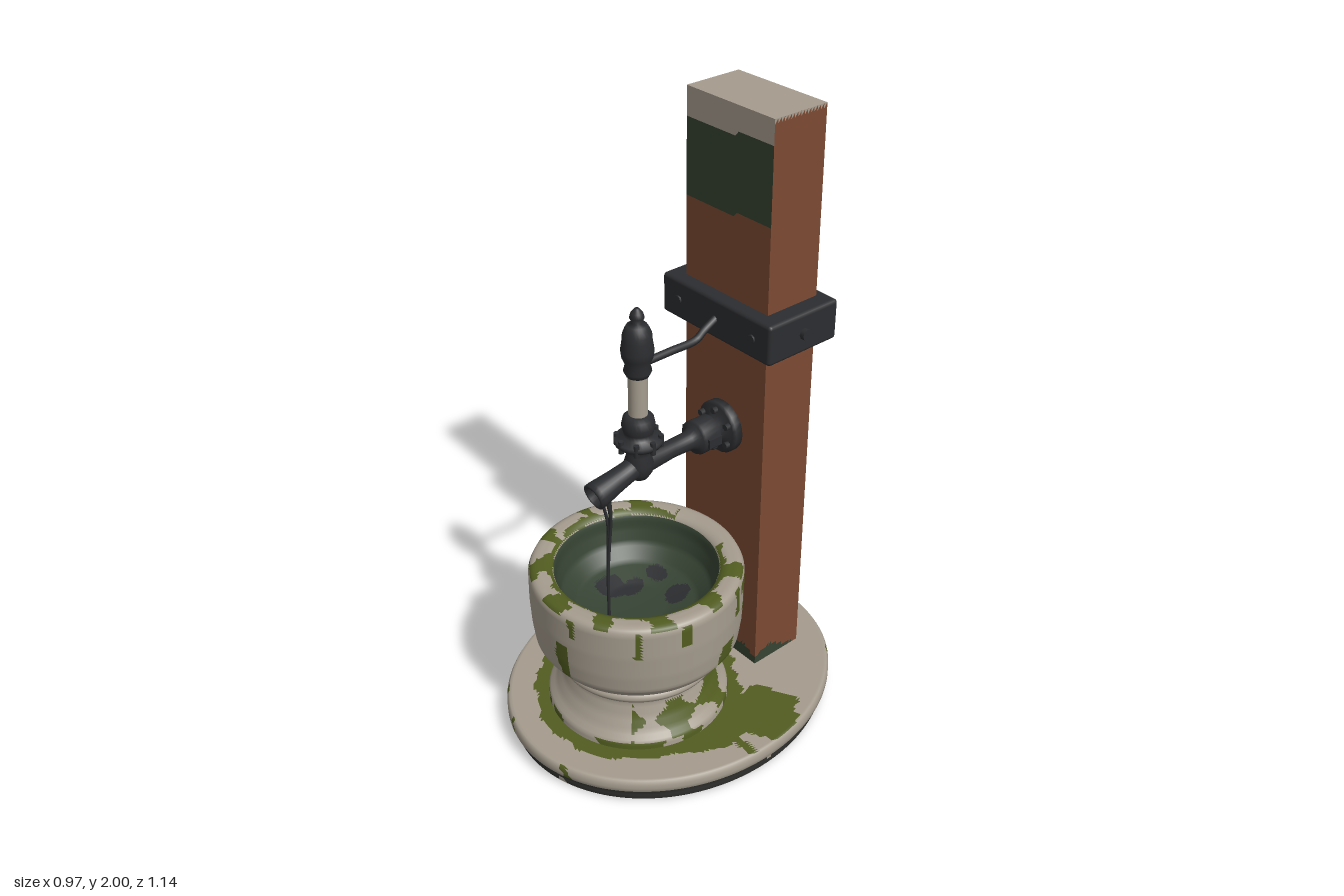
import * as THREE from 'three';
import { RoundedBoxGeometry } from 'three/addons/geometries/RoundedBoxGeometry.js';

const paint = (name, color) => {
  const m = new THREE.MeshStandardMaterial({ color });
  m.name = name;
  return m;
};
const V = (x, y, z) => new THREE.Vector3(x, y, z);

// Smooth wobble that makes patch edges irregular
const wobble = (x, y, z) =>
  (Math.sin(x * 31 + z * 17 + y * 23) + Math.sin(z * 41 - x * 23 + 1.3) + Math.sin(x * 67 + y * 53 + z * 59)) / 3;

// Is (x, z) inside any of the ellipses [cx, cz, rx, rz]?
const inBlobs = (blobs, x, z) =>
  blobs.some(([cx, cz, rx, rz]) => Math.hypot((x - cx) / rx, (z - cz) / rz) < 1 + 0.22 * wobble(x, 0, z));

// Profile points [r, y] resampled so that patches have clean edges
function denseProfile(points, step) {
  const out = [];
  points.forEach(([r, y], i) => {
    if (i === 0) return out.push(new THREE.Vector2(r, y));
    const [r0, y0] = points[i - 1];
    const n = Math.max(1, Math.ceil(Math.hypot(r - r0, y - y0) / step));
    for (let k = 1; k <= n; k++) out.push(new THREE.Vector2(r0 + (r - r0) * k / n, y0 + (y - y0) * k / n));
  });
  return out;
}

// Sort the triangles of a geometry into material groups by their centres
function splitFaces(geometry, count, pick) {
  const p = geometry.attributes.position, idx = geometry.index.array;
  const buckets = Array.from({ length: count }, () => []);
  for (let i = 0; i < idx.length; i += 3) {
    const t = [idx[i], idx[i + 1], idx[i + 2]];
    const mean = (get) => (get(t[0]) + get(t[1]) + get(t[2])) / 3;
    buckets[pick(mean((k) => p.getX(k)), mean((k) => p.getY(k)), mean((k) => p.getZ(k)))].push(...t);
  }
  geometry.setIndex(buckets.flat());
  let start = 0;
  buckets.forEach((b, i) => {
    geometry.addGroup(start, b.length, i);
    start += b.length;
  });
  return geometry;
}

export function createModel() {
  const stone = paint('stone', 0xa59c8e);
  const moss = paint('moss', 0x515c20);
  const wood = paint('redPost', 0x7c4a33);
  const iron = paint('iron', 0x2c2d30);
  const grime = paint('darkGrime', 0x30312e);
  const damp = paint('dampGreen', 0x364333);

  const model = new THREE.Group();
  model.name = 'waterFountain';
  const add = (name, geometry, material, x = 0, y = 0, z = 0, parent = model) => {
    const mesh = new THREE.Mesh(geometry, material);
    mesh.name = name;
    mesh.position.set(x, y, z);
    parent.add(mesh);
    return mesh;
  };
  const lathe = (points, sides = 24) => new THREE.LatheGeometry(points.map(([r, y]) => new THREE.Vector2(r, y)), sides);

  // Oval base slab
  const mossPatches = [
    [0.36, -0.09, 0.12, 0.11], [0.44, -0.1, 0.06, 0.05], [0.32, 0.06, 0.07, 0.14], [0.44, 0.06, 0.06, 0.015],
    [-0.32, -0.08, 0.09, 0.11], [-0.36, 0.06, 0.06, 0.14], [-0.44, 0.18, 0.035, 0.06], [-0.39, 0.22, 0.07, 0.03],
    [0, -0.455, 0.13, 0.03],
  ];
  const baseGeo = new THREE.LatheGeometry(denseProfile(
    [[0, 0], [0.96, 0], [0.97, 0.006], [0.97, 0.036], [0.985, 0.045], [1, 0.052], [1, 0.076], [0.985, 0.09], [0, 0.09]], 0.018), 180);
  baseGeo.scale(0.486, 1, 0.572);
  splitFaces(baseGeo, 3, (x, y, z) => {
    const r = Math.hypot(x / 0.486, z / 0.572), w = wobble(x, y, z);
    if (y < 0.002) {
      const ring = r > 0.74 && r < 0.77 && w > -0.25;
      return ring || (r > 0.9 && r < 0.93 && w > 0.3) ? 1 : 0;
    }
    if (y < 0.045 && r > 0.95) return w > 0.6 ? 0 : 2;
    if (y < 0.088) return w > 0.72 ? 1 : 0;
    return Math.hypot(x, z - 0.14) < 0.34 + 0.02 * w || inBlobs(mossPatches, x, z) ? 1 : 0;
  });
  add('baseSlab', baseGeo, [stone, moss, grime]);

  // Pedestal and basin in one turned profile, with moss drips [angle, half width, y0, y1]
  const drips = [
    [-0.72, 0.06, 0.48, 0.61], [-0.94, 0.05, 0.35, 0.42], [0.15, 0.08, 0.35, 0.49], [0.25, 0.05, 0.53, 0.61],
    [1.36, 0.06, 0.52, 0.61], [2.33, 0.17, 0.35, 0.59], [1.88, 0.12, 0.28, 0.43], [0.9, 0.04, 0.5, 0.61],
    [-2.1, 0.12, 0.3, 0.61], [-1.5, 0.07, 0.48, 0.61], [2.05, 0.05, 0.5, 0.61],
  ];
  const stains = [
    [-0.07, 0.0, 0.04, 0.03], [0.05, 0.01, 0.035, 0.04], [-0.12, 0.15, 0.05, 0.05], [0.12, 0.15, 0.04, 0.05],
    [0.15, 0.08, 0.03, 0.03], [0.17, 0.17, 0.03, 0.04], [-0.08, 0.09, 0.03, 0.05], [0, 0.31, 0.09, 0.03],
  ];
  const bz = 0.138;
  const bowlGeo = new THREE.LatheGeometry(denseProfile([
    [0.295, 0.08], [0.292, 0.112], [0.268, 0.14], [0.246, 0.18], [0.232, 0.225], [0.236, 0.245], [0.256, 0.254],
    [0.262, 0.267], [0.256, 0.28], [0.242, 0.288], [0.268, 0.3], [0.303, 0.328], [0.326, 0.362], [0.333, 0.42],
    [0.337, 0.5], [0.336, 0.588], [0.328, 0.604], [0.312, 0.61], [0.28, 0.609], [0.262, 0.6], [0.254, 0.585],
    [0.25, 0.55], [0.235, 0.5], [0.19, 0.455], [0.1, 0.43], [0, 0.425]], 0.012), 180);
  bowlGeo.translate(0, 0, bz);
  splitFaces(bowlGeo, 4, (x, y, z) => {
    const r = Math.hypot(x, z - bz), a = Math.atan2(x, z - bz), w = wobble(x, y, z);
    if (y > 0.42 && y < 0.593 && r < 0.258) return inBlobs(stains, x, z) ? 3 : 2; // hollow
    if (y > 0.597) { // rim
      if (Math.abs(a) > 2.75) return 0;
      return r < 0.275 + 0.015 * w || Math.cos(a * 11 + w) > 0.55 ? 1 : 0;
    }
    if (y < 0.235) { // pedestal
      if (y < 0.11) return w > 0.15 ? 1 : 0;
      const side = a > 0.8 && a < 2.5 || a < -1.3 && a > -2.6;
      return side && y < 0.22 && Math.cos(a * 9) + Math.cos(y * 75) * 0.8 > -0.35 + 0.4 * w ? 1 : 0;
    }
    return drips.some(([c, h, y0, y1]) => y > y0 && y < y1 && Math.abs(a - c + 0.03 * w) < h * (0.8 + 0.4 * w)) ? 1 : 0;
  });
  add('basin', bowlGeo, [stone, moss, damp, iron]);

  // Tall post, leaning very slightly back toward the foot
  const postGeo = new THREE.BoxGeometry(0.352, 1.94, 0.196, 28, 130, 16);
  postGeo.translate(0, 1.03, -0.31);
  const pp = postGeo.attributes.position;
  for (let i = 0; i < pp.count; i++) pp.setZ(i, pp.getZ(i) - 0.012 * (1 - pp.getY(i) / 2));
  splitFaces(postGeo, 3, (x, y, z) => {
    if (y > 1.992) return 1;
    return y < 0.118 + 0.022 * Math.sin(x * 22 + z * 30) + 0.012 * wobble(x, 0, z) ? 2 : 0;
  });
  add('post', postGeo, [wood, stone, damp]);

  // Iron band around the post with bolt heads
  add('postBand', new RoundedBoxGeometry(0.468, 0.13, 0.275, 2, 0.012), iron, 0, 1.35, -0.308);
  for (const s of [-1, 1]) {
    const side = add('bandBolt', new THREE.CylinderGeometry(0.018, 0.018, 0.03, 8), iron, s * 0.234, 1.35, -0.308);
    side.rotation.z = Math.PI / 2;
    for (const z of [-0.445, -0.171]) {
      const bolt = add('bandStud', new THREE.CylinderGeometry(0.014, 0.014, 0.012, 8), iron, s * 0.16, 1.35, z);
      bolt.rotation.x = Math.PI / 2;
    }
  }

  // Tap: wall flange, collar and pipe turned along z
  const tap = new THREE.Group();
  tap.name = 'tap';
  model.add(tap);
  const pipe = add('tapPipe', lathe([
    [0, -0.225], [0.086, -0.225], [0.086, -0.194], [0.078, -0.186], [0.05, -0.184], [0.04, -0.165], [0.054, -0.16],
    [0.056, -0.1], [0.052, -0.092], [0.038, -0.088], [0.03, -0.07], [0.028, 0], [0.034, 0.08], [0.036, 0.12], [0, 0.13]]),
  iron, 0, 0.964, 0, tap);
  pipe.rotation.x = Math.PI / 2;
  for (let i = 0; i < 6; i++) {
    const a = i / 6 * Math.PI * 2;
    const bolt = add('flangeBolt', new THREE.CylinderGeometry(0.011, 0.011, 0.02, 6), iron,
      0.066 * Math.sin(a), 0.964 + 0.066 * Math.cos(a), -0.18, tap);
    bolt.rotation.x = Math.PI / 2;
  }
  for (const s of [-1, 1]) add('collarLug', new THREE.BoxGeometry(0.02, 0.03, 0.05), iron, s * 0.053, 0.964, -0.13, tap);

  // Spout sloping forward, with a recessed mouth
  const spout = add('spout', lathe([
    [0, 0], [0.036, 0], [0.033, 0.05], [0.036, 0.1], [0.043, 0.17], [0.043, 0.186], [0.031, 0.186], [0.028, 0.15], [0, 0.15]]),
  iron, 0, 0.968, 0.115, tap);
  spout.rotation.x = Math.PI / 2 + 0.25;

  // Valve body, pale stem and turned cap
  const vz = 0.122;
  add('valveBody', lathe([
    [0, 0.918], [0.028, 0.922], [0.042, 0.945], [0.045, 0.975], [0.036, 1.005], [0.036, 1.036], [0.072, 1.044],
    [0.074, 1.052], [0.072, 1.06], [0.042, 1.066], [0.046, 1.085], [0.051, 1.105], [0.046, 1.13], [0.034, 1.142], [0, 1.142]]),
  iron, 0, 0, vz, tap);
  for (let i = 0; i < 8; i++) {
    const a = i / 8 * Math.PI * 2;
    add('valveBolt', new THREE.CylinderGeometry(0.009, 0.009, 0.04, 6), iron,
      0.066 * Math.sin(a), 1.052, vz + 0.066 * Math.cos(a), tap);
  }
  add('valveStem', new THREE.CylinderGeometry(0.029, 0.029, 0.16, 20), stone, 0, 1.21, vz, tap);
  add('valveCap', lathe([
    [0, 1.272], [0.034, 1.272], [0.042, 1.288], [0.036, 1.308], [0.046, 1.332], [0.049, 1.355], [0.044, 1.388],
    [0.043, 1.406], [0.036, 1.424], [0.03, 1.434], [0.014, 1.44], [0.022, 1.458], [0.018, 1.472], [0.008, 1.485], [0, 1.486]]),
  iron, 0, 0, vz, tap);

  // Brace rod from the cap to the band
  const tube = (name, pts, r, n = 24) =>
    add(name, new THREE.TubeGeometry(new THREE.CatmullRomCurve3(pts), n, r, 8), iron, 0, 0, 0, tap);
  tube('braceRod', [V(0, 1.303, 0.11), V(0, 1.303, 0), V(0, 1.305, -0.1), V(0, 1.325, -0.13), V(0, 1.352, -0.18)], 0.012);

  // Thin trickles of water
  tube('trickle', [V(-0.02, 0.91, 0.258), V(-0.008, 0.8, 0.24), V(-0.002, 0.7, 0.245), V(0, 0.6, 0.25), V(0, 0.44, 0.25)], 0.005);
  tube('trickle', [V(0.022, 0.91, 0.262), V(0.01, 0.82, 0.242), V(0.003, 0.72, 0.244), V(0, 0.62, 0.25)], 0.005);
  tube('trickle', [V(0, 0.91, 0.24), V(0.002, 0.84, 0.236), V(0, 0.76, 0.242)], 0.006);

  return model;
}
